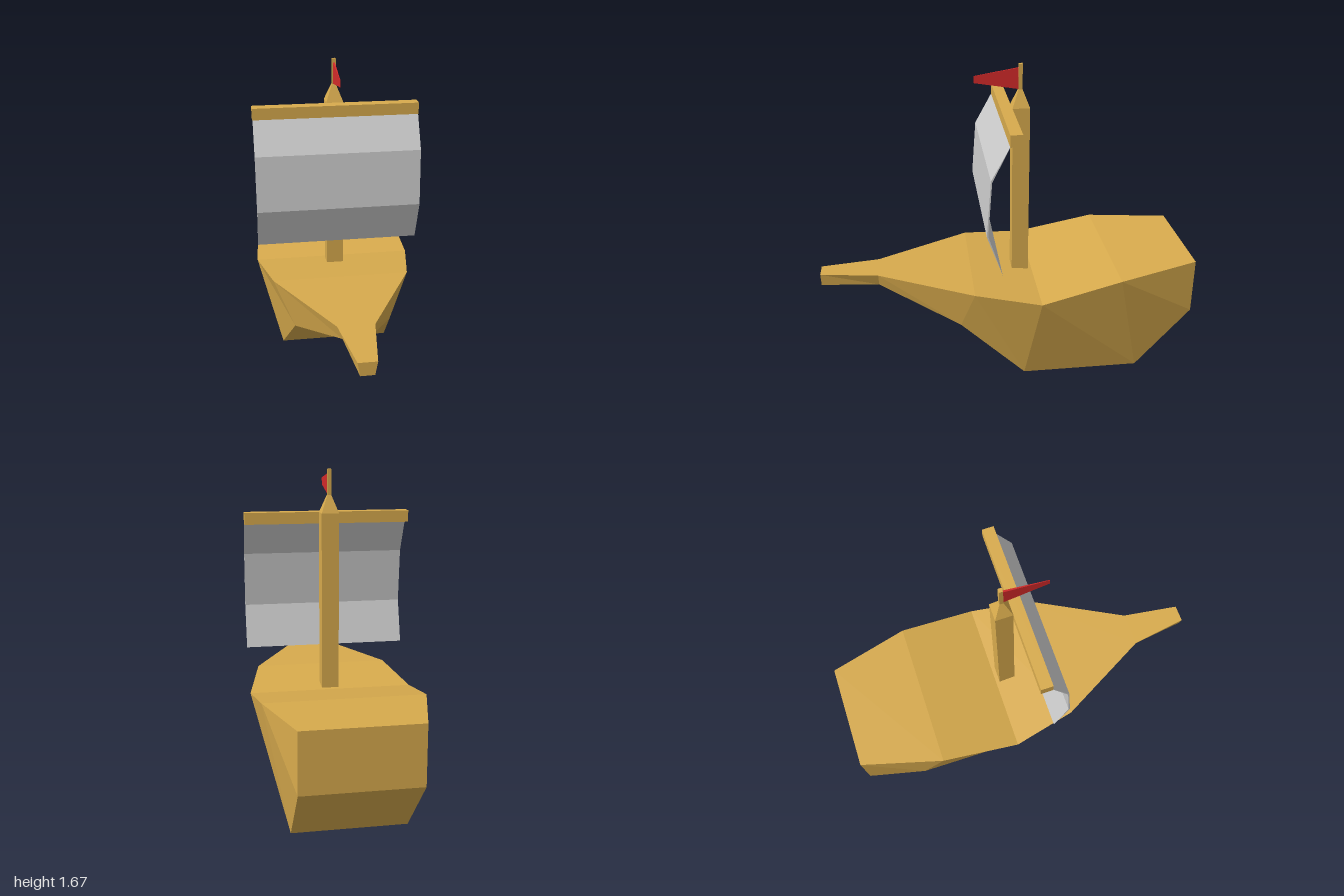
import * as THREE from 'three';

const material = (color, side = THREE.FrontSide) =>
  new THREE.MeshStandardMaterial({ color, side, flatShading: true });
const wood = material(0xd8ab4d);
const red = material(0xd42a2a, THREE.DoubleSide);
const cloth = material(0xcccccc, THREE.DoubleSide);

// Joins trapezoid sections [z, topY, topHalfWidth, bottomZ, bottomY, bottomHalfWidth], front to back
function loft(sections) {
  const pos = [];
  const index = [];
  for (const [zt, yt, wt, zb, yb, wb] of sections) {
    pos.push(-wt, yt, zt, wt, yt, zt, wb, yb, zb, -wb, yb, zb);
  }
  for (let i = 0; i < sections.length - 1; i++) {
    for (let j = 0; j < 4; j++) {
      const a = i * 4 + j, b = i * 4 + (j + 1) % 4;
      index.push(a, b, b + 4, a, b + 4, a + 4);
    }
  }
  const e = (sections.length - 1) * 4;
  index.push(0, 3, 2, 0, 2, 1, e, e + 1, e + 2, e, e + 2, e + 3);
  const indexed = new THREE.BufferGeometry();
  indexed.setAttribute('position', new THREE.Float32BufferAttribute(pos, 3));
  indexed.setIndex(index);
  const geometry = indexed.toNonIndexed();
  geometry.computeVertexNormals();
  return geometry;
}

// Square post, given by half widths at its two ends
function post(bottomHalf, topHalf, y0, y1) {
  const s = Math.SQRT2;
  return new THREE.CylinderGeometry(topHalf * s, bottomHalf * s, y1 - y0, 4)
    .rotateY(Math.PI / 4)
    .translate(0, (y0 + y1) / 2, -0.085);
}

export function createModel() {
  const ship = new THREE.Group();
  ship.name = 'sailingShip';
  const add = (name, geometry, mat) => {
    const mesh = new THREE.Mesh(geometry, mat);
    mesh.name = name;
    ship.add(mesh);
  };

  // Hull with the bowsprit drawn out of its front
  add('hull', loft([
    [1.0, 0.56, 0.046, 1.0, 0.49, 0.034],
    [0.69, 0.56, 0.092, 0.69, 0.49, 0.066],
    [0.19, 0.56, 0.36, 0.26, 0.32, 0.256],
    [-0.15, 0.52, 0.428, -0.08, 0.015, 0.3],
    [-0.57, 0.615, 0.402, -0.71, 0.004, 0.286],
    [-1.0, 0.64, 0.284, -1.0, 0.34, 0.286],
  ]), wood);

  // Mast, its tapered head and the flagpole
  add('mast', post(0.045, 0.045, 0.48, 1.45), wood);
  add('mastHead', post(0.045, 0.01, 1.45, 1.54), wood);
  add('flagpole', post(0.01, 0.01, 1.54, 1.67), wood);

  // Yard across the front of the mast
  add('yard', new THREE.BoxGeometry(0.86, 0.06, 0.06).translate(0, 1.42, -0.01), wood);

  // Billowing sail, thin towards its upper and lower edges
  const profile = new THREE.Shape([
    [0.02, 1.39], [0.105, 1.217], [0.126, 0.933], [0.055, 0.712],
    [0.133, 0.93], [0.111, 1.224],
  ].map(([z, y]) => new THREE.Vector2(z, y)));
  const sail = new THREE.ExtrudeGeometry(profile, { depth: 0.856, bevelEnabled: false })
    .rotateY(-Math.PI / 2)
    .translate(0.428, 0, 0);
  add('sail', sail, cloth);

  // Tapering pennant flying forward
  add('flag', loft([
    [0.15, 1.613, 0.001, 0.15, 1.577, 0.001],
    [-0.078, 1.65, 0.005, -0.078, 1.54, 0.005],
  ]), red);

  return ship;
}
